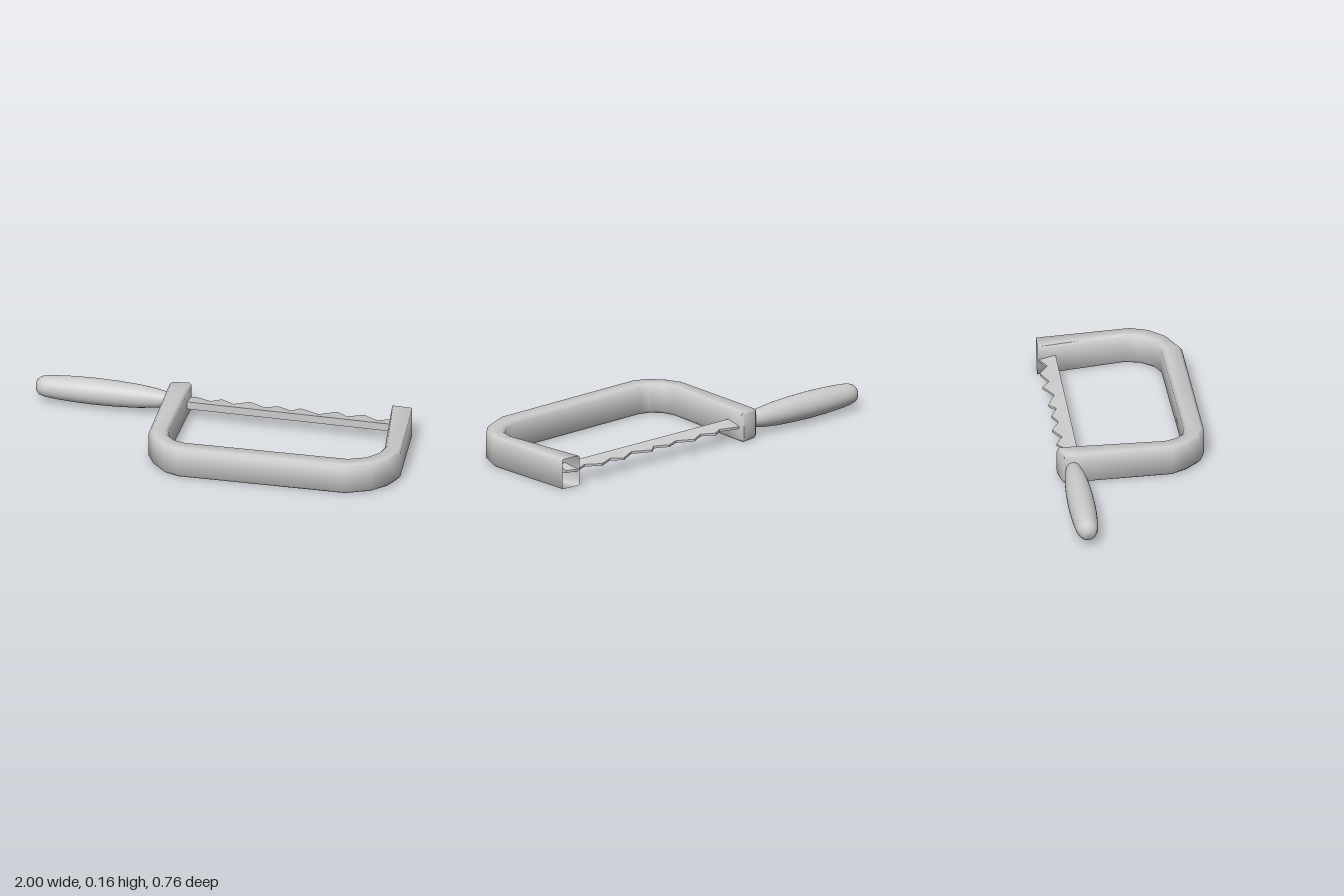
import * as THREE from 'three';
import { toCreasedNormals } from 'three/addons/utils/BufferGeometryUtils.js';

const MID = 0.079; // mid height of the whole tool
const material = new THREE.MeshStandardMaterial({ color: 0xcccccc });
const shell = new THREE.MeshStandardMaterial({ color: 0xcccccc, side: THREE.DoubleSide });

// Skin closed rings of points, with optional flat caps
function loft(rings, capStart, capEnd, crease) {
  const n = rings[0].length, index = [];
  for (let i = 0; i < rings.length - 1; i++) {
    for (let j = 0; j < n; j++) {
      const a = i * n + j, b = i * n + (j + 1) % n;
      index.push(a, a + n, b, b, a + n, b + n);
    }
  }
  const last = (rings.length - 1) * n;
  for (let j = 1; j < n - 1; j++) {
    if (capStart) index.push(0, j, j + 1);
    if (capEnd) index.push(last, last + j + 1, last + j);
  }
  const geo = new THREE.BufferGeometry();
  geo.setAttribute('position', new THREE.Float32BufferAttribute(rings.flat(2), 3));
  geo.setIndex(index);
  return toCreasedNormals(geo, crease);
}

// Chamfered rectangular section between an outer and an inner point of the bow
function bowRing([ox, oz, ix, iz, half, c]) {
  const w = Math.hypot(ix - ox, iz - oz);
  const at = (d, y) => [ox + (ix - ox) * d / w, MID + y, oz + (iz - oz) * d / w];
  return [
    at(0, c - half), at(0, half - c), at(c, half), at(w - c, half),
    at(w, half - c), at(w, c - half), at(w - c, -half), at(c, -half),
  ];
}

function createFrame() {
  // outer x, outer z, inner x, inner z, half height, chamfer
  const stations = [
    [-0.308, -0.366, -0.218, -0.384, 0.066, 0.012],
    [-0.318, -0.355, -0.209, -0.374, 0.078, 0.012],
    [-0.314, -0.28, -0.208, -0.28, 0.079, 0.012],
    [-0.292, 0.2, -0.197, 0.16, 0.079, 0.018],
    [-0.25, 0.28, -0.178, 0.215, 0.079, 0.018],
    [-0.18, 0.35, -0.135, 0.26, 0.079, 0.018],
    [-0.1, 0.378, -0.08, 0.277, 0.079, 0.018],
    [0.765, 0.362, 0.76, 0.257, 0.079, 0.018],
    [0.89, 0.305, 0.84, 0.22, 0.079, 0.018],
    [0.965, 0.225, 0.89, 0.155, 0.079, 0.018],
    [0.998, 0.13, 0.906, 0.08, 0.079, 0.016],
    [0.94, -0.36, 0.835, -0.364, 0.079, 0.004],
  ];
  // The far end stays open as a hollow socket
  const frame = new THREE.Mesh(loft(stations.map(bowRing), true, false, 0.9), shell);
  frame.name = 'frame';
  return frame;
}

function createBlade() {
  // x and z along the toothed edge
  const teeth = [
    [-0.26, -0.345], [-0.19, -0.362], [-0.1, -0.334], [-0.05, -0.366], [0.02, -0.33],
    [0.095, -0.372], [0.18, -0.33], [0.245, -0.358], [0.32, -0.325], [0.36, -0.362],
    [0.463, -0.32], [0.55, -0.37], [0.607, -0.33], [0.69, -0.368],
    [0.767, -0.322], [0.835, -0.355], [0.9, -0.34],
  ];
  // Wedge section: thick spine, thin cutting edge
  const rings = teeth.map(([x, z]) => [
    [x, MID - 0.02, -0.27], [x, MID + 0.02, -0.27],
    [x, MID + 0.006, z], [x, MID - 0.006, z],
  ]);
  const blade = new THREE.Mesh(loft(rings, true, true, 0.6), material);
  blade.name = 'blade';
  return blade;
}

function createHandle() {
  // radius and distance from the butt end
  const profile = [
    [0, 0], [0.028, 0.004], [0.046, 0.02], [0.055, 0.05], [0.061, 0.11], [0.066, 0.2],
    [0.068, 0.3], [0.066, 0.42], [0.06, 0.53], [0.05, 0.62], [0.038, 0.68], [0.03, 0.715], [0, 0.715],
  ].map(([r, d]) => new THREE.Vector2(r, d));
  const handle = new THREE.Mesh(new THREE.LatheGeometry(profile, 32), material);
  handle.rotation.z = -Math.PI / 2;
  handle.position.set(-1, MID + 0.002, -0.311);
  handle.name = 'handle';
  return handle;
}

export function createModel() {
  const saw = new THREE.Group();
  saw.name = 'bowSaw';
  saw.add(createFrame(), createBlade(), createHandle());
  return saw;
}
